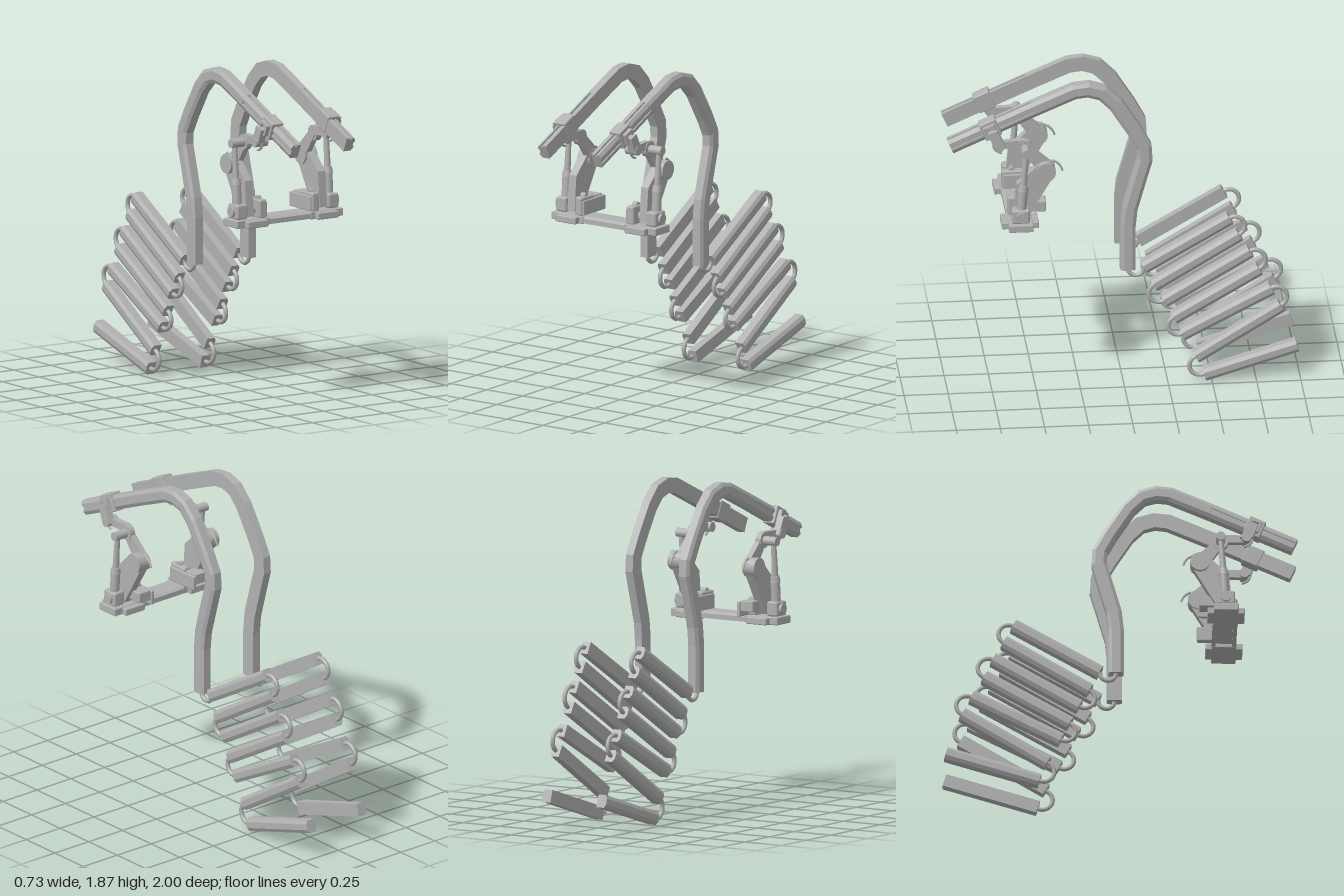
import * as THREE from 'three';
import { RoundedBoxGeometry } from 'three/addons/geometries/RoundedBoxGeometry.js';

const steel = new THREE.MeshStandardMaterial({ color: 0xb0b0b0 });
steel.name = 'grey steel';

function add(group, name, geo) {
  const mesh = new THREE.Mesh(geo, steel);
  mesh.name = name;
  group.add(mesh);
  return mesh;
}

// Beam section (x, depth): outer corners chamfered, optional slots on outer and top faces
function section(w, h, slot) {
  const pts = [[-w, -h], [w - 0.012, -h], [w, -h + 0.02]];
  if (slot) pts.push([w, -0.012], [w - 0.008, -0.012], [w - 0.008, 0.012], [w, 0.012]);
  pts.push([w, h - 0.02], [w - 0.012, h]);
  if (slot) pts.push([0.008, h], [0.008, h - 0.01], [-0.006, h - 0.01], [-0.006, h]);
  pts.push([-w, h]);
  return pts;
}

// Sweep a section along a mitred path of [z, y] points, at x = side * cx
function sweep(path, sec, cx, side) {
  const ring = sec.map(([x, n]) => [side * x, n]);
  if (side < 0) ring.reverse();
  const pos = [], idx = [], k = ring.length, last = path.length - 1;
  const dir = (i) => new THREE.Vector2(path[i + 1][0] - path[i][0], path[i + 1][1] - path[i][1]).normalize();
  path.forEach(([z, y], i) => {
    const a = dir(Math.max(i - 1, 0)), b = dir(Math.min(i, last - 1));
    const t = a.clone().add(b).normalize();
    const m = 1 / t.dot(a);
    for (const [x, n] of ring) pos.push(side * cx + x, y - t.x * n * m, z + t.y * n * m);
  });
  for (let i = 0; i < last; i++) {
    for (let j = 0; j < k; j++) {
      const a = i * k + j, b = i * k + (j + 1) % k;
      idx.push(a, a + k, b, b, a + k, b + k);
    }
  }
  const caps = THREE.ShapeUtils.triangulateShape(ring.map(([x, n]) => new THREE.Vector2(x, n)), []);
  for (const [a, b, c] of caps) idx.push(a, b, c, c + last * k, b + last * k, a + last * k);
  const geo = new THREE.BufferGeometry();
  geo.setAttribute('position', new THREE.Float32BufferAttribute(pos, 3));
  geo.setIndex(idx);
  const flat = geo.toNonIndexed();
  flat.computeVertexNormals();
  return flat;
}

// Flat plate outlined in the z/y plane, spanning x0..x1 on one side
function plate(outline, x0, x1, side, hole) {
  const shape = new THREE.Shape(outline.map(([z, y]) => new THREE.Vector2(z, y)));
  if (hole) shape.holes.push(new THREE.Path(hole.map(([z, y]) => new THREE.Vector2(z, y))));
  const d = x1 - x0;
  return new THREE.ExtrudeGeometry(shape, { depth: d, bevelEnabled: false })
    .translate(0, 0, -d / 2).rotateY(-Math.PI / 2).translate(side * (x0 + x1) / 2, 0, 0);
}

// Pin or knob along x
function pin(z, y, r, x0, x1, side, n = 16) {
  return new THREE.CylinderGeometry(r, r, x1 - x0, n).rotateZ(Math.PI / 2)
    .translate(side * (x0 + x1) / 2, y, z);
}

// Round rod between two [z, y] points
function rod(a, b, ra, rb, x, side) {
  const dz = b[0] - a[0], dy = b[1] - a[1];
  return new THREE.CylinderGeometry(rb, ra, Math.hypot(dz, dy), 14).rotateX(Math.atan2(dz, dy))
    .translate(side * x, (a[1] + b[1]) / 2, (a[0] + b[0]) / 2);
}

function block(x0, x1, y0, y1, z0, z1, side, r = 0.006) {
  return new RoundedBoxGeometry(x1 - x0, y1 - y0, z1 - z0, 1, r)
    .translate(side * (x0 + x1) / 2, (y0 + y1) / 2, (z0 + z1) / 2);
}

// Half ring joining two [z, y] ends, bulging to the left of p -> q
function halfRing(p, q, x, side) {
  const dz = q[0] - p[0], dy = q[1] - p[1];
  return new THREE.TorusGeometry(Math.hypot(dz, dy) / 2, 0.013, 8, 14, Math.PI)
    .rotateZ(Math.atan2(dy, dz)).rotateY(-Math.PI / 2)
    .translate(side * x, (p[1] + q[1]) / 2, (p[0] + q[0]) / 2);
}

const CX = 0.1875;
const SLOT_END = [0.51, 1.724];
const RAIL = [SLOT_END, [0.28, 1.823], [0.2, 1.831], [0.12, 1.807], [0.045, 1.733], [-0.06, 1.567],
  [-0.115, 1.465], [-0.12, 1.385], [-0.083, 1.257], [-0.035, 1.086], [-0.024, 0.979], [-0.024, 0.709]];
// Folded bars: [front end, back end]
const BARS = [
  [[-0.115, 0.717], [-0.603, 1.0]], [[-0.172, 0.604], [-0.657, 0.896]],
  [[-0.231, 0.503], [-0.718, 0.791]], [[-0.284, 0.396], [-0.769, 0.679]],
  [[-0.335, 0.294], [-0.839, 0.556]], [[-0.41, 0.15], [-0.893, 0.447]],
  [[-0.456, 0.039], [-0.984, 0.199]],
];

function buildRail(side) {
  const g = new THREE.Group();
  g.name = side > 0 ? 'leftRail' : 'rightRail';
  add(g, 'slottedRail', sweep([[0.983, 1.513], SLOT_END], section(0.031, 0.043, true), CX, side));
  add(g, 'curvedRail', sweep(RAIL, section(0.031, 0.043, false), CX, side));
  add(g, 'firstLoop', halfRing(RAIL[RAIL.length - 1], BARS[0][0], CX, side));
  BARS.forEach((bar, i) => {
    add(g, 'foldedBar', sweep(bar, section(0.031, 0.037, false), CX, side));
    const next = BARS[i + 1];
    if (!next) return;
    // Loops alternate between the back and the front ends
    add(g, 'hingeLoop', i % 2 ? halfRing(bar[0], next[0], CX, side) : halfRing(next[1], bar[1], CX, side));
  });
  return g;
}

function buildLinkage(side) {
  const g = new THREE.Group();
  g.name = side > 0 ? 'leftLinkage' : 'rightLinkage';

  // Foot of the linkage
  add(g, 'footPad', block(0.14, 0.363, 1.035, 1.08, 0.525, 0.665, side));
  add(g, 'footFlange', block(0.17, 0.31, 1.035, 1.075, 0.49, 0.7, side));
  add(g, 'innerBracket', block(0.155, 0.205, 1.075, 1.185, 0.535, 0.66, side, 0.012));
  add(g, 'innerPlate', block(0.145, 0.165, 1.08, 1.165, 0.44, 0.65, side));
  add(g, 'rearStop', block(0.165, 0.25, 1.11, 1.172, 0.445, 0.535, side));
  add(g, 'bracketPin', pin(0.6, 1.185, 0.017, 0.165, 0.195, side, 12));
  add(g, 'pivotBlock', block(0.275, 0.348, 1.08, 1.165, 0.545, 0.645, side, 0.012));
  add(g, 'pivotPin', pin(0.593, 1.123, 0.03, 0.21, 0.363, side));

  // Lower arm, elbow and rocker
  add(g, 'lowerArm', plate([[0.55, 1.09], [0.63, 1.09], [0.625, 1.16], [0.612, 1.294], [0.49, 1.412],
    [0.405, 1.337]].reverse(), 0.225, 0.275, side));
  add(g, 'elbow', pin(0.448, 1.369, 0.056, 0.213, 0.295, side, 20));
  add(g, 'rocker', plate([[0.72, 1.551], [0.566, 1.556], [0.528, 1.513], [0.394, 1.39], [0.464, 1.326],
    [0.571, 1.476], [0.598, 1.508], [0.716, 1.508]], 0.215, 0.25, side));
  add(g, 'rockerShoulder', pin(0.563, 1.51, 0.045, 0.22, 0.255, side));
  add(g, 'rockerPin', pin(0.71, 1.531, 0.028, 0.2, 0.28, side));

  // Hydraulic cylinder
  const foot = [0.59, 1.14], mid = [0.579, 1.295], top = [0.563, 1.508];
  add(g, 'cylinderSleeve', rod(foot, mid, 0.027, 0.027, 0.313, side));
  add(g, 'cylinderCollar', rod([0.581, 1.275], [0.578, 1.31], 0.03, 0.024, 0.313, side));
  add(g, 'pistonRod', rod(mid, top, 0.019, 0.015, 0.313, side));
  add(g, 'topPin', pin(top[0], top[1], 0.026, 0.22, 0.34, side));

  // Thin curved guards
  const guard = (a, b, c) => {
    const curve = new THREE.QuadraticBezierCurve3(...[a, b, c].map(([z, y]) => new THREE.Vector3(side * 0.245, y, z)));
    return new THREE.TubeGeometry(curve, 8, 0.007, 6);
  };
  add(g, 'rearGuard', guard([0.41, 1.425], [0.365, 1.41], [0.352, 1.36]));
  add(g, 'frontGuard', guard([0.745, 1.53], [0.74, 1.495], [0.695, 1.482]));

  // Sliding clamp around the rail, with a hollow boss outside
  const clamp = new THREE.Group();
  clamp.name = 'railClamp';
  clamp.position.set(0, 1.617, 0.757);
  clamp.rotation.x = 0.42;
  const square = (r) => [[-r, -r], [r, -r], [r, r], [-r, r]];
  add(clamp, 'clampBody', block(0.152, 0.23, -0.054, 0.054, -0.05, 0.05, side));
  add(clamp, 'clampBoss', plate(square(0.034), 0.225, 0.255, side, square(0.02).reverse()));
  add(clamp, 'bossCore', block(0.225, 0.238, -0.02, 0.02, -0.02, 0.02, side, 0.002));
  g.add(clamp);
  add(g, 'clampLink', plate([[0.745, 1.53], [0.775, 1.61], [0.725, 1.63], [0.675, 1.53]], 0.232, 0.275, side));
  return g;
}

export function createModel() {
  const model = new THREE.Group();
  model.name = 'foldingRailMechanism';
  for (const side of [1, -1]) model.add(buildRail(side), buildLinkage(side));

  // Channel-shaped cross member, open underneath
  add(model, 'crossMember', plate([[0.522, 1.04], [0.545, 1.04], [0.545, 1.058], [0.638, 1.058], [0.638, 1.04],
    [0.662, 1.04], [0.662, 1.068], [0.645, 1.08], [0.54, 1.08], [0.522, 1.068]], -0.15, 0.15, 1));
  return model;
}
